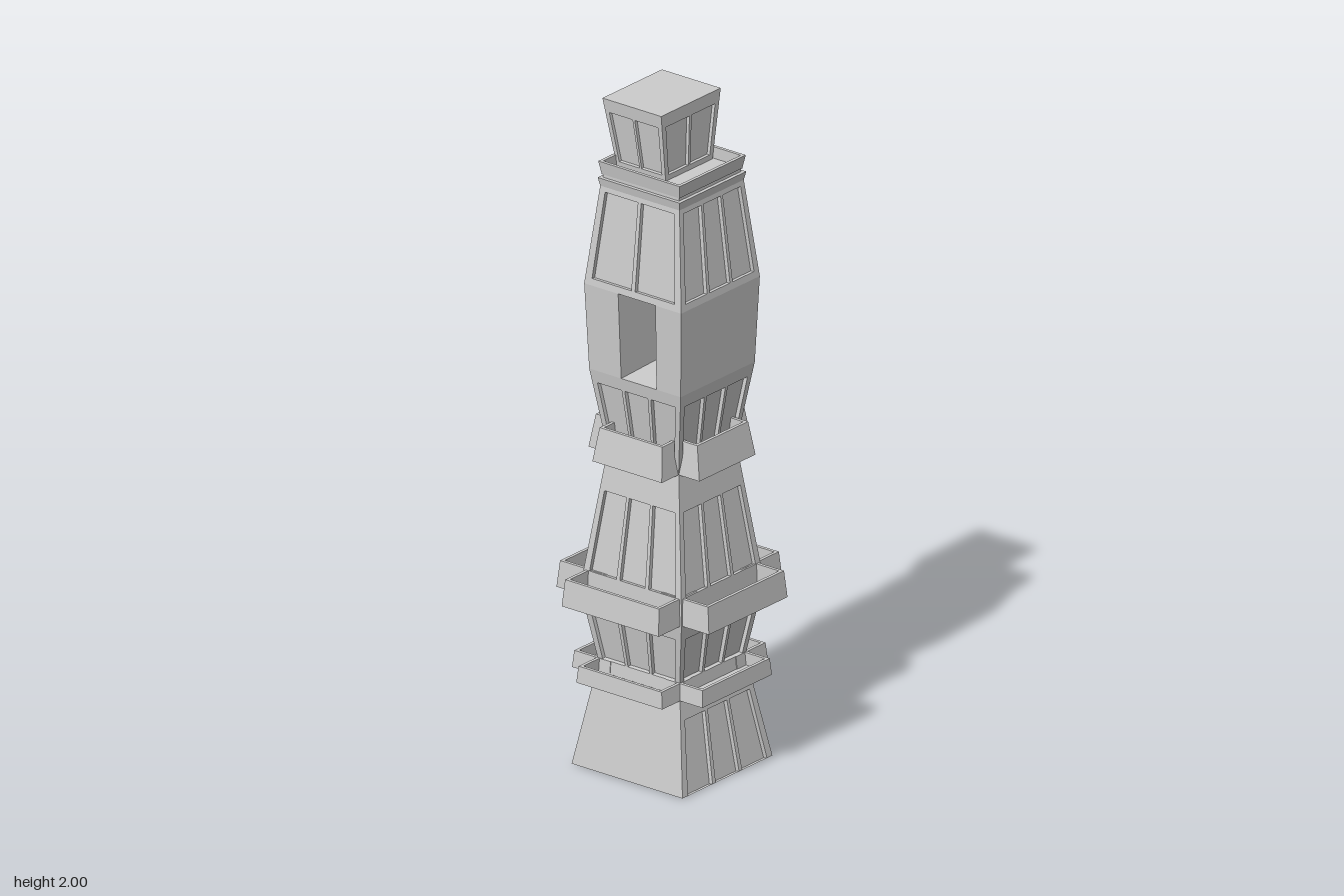
import * as THREE from 'three';

const material = new THREE.MeshStandardMaterial({ color: 0xcccccc, flatShading: true, side: THREE.DoubleSide });

// Evenly shared panels as [u0, u1, v0, v1] across a face
const THREE_PANELS = (v0, v1) => [[0.06, 0.335, v0, v1], [0.37, 0.63, v0, v1], [0.665, 0.94, v0, v1]];
const TWO_PANELS = (v0, v1) => [[0.07, 0.48, v0, v1], [0.52, 0.93, v0, v1]];

// Flat four-cornered face (bl, br, tr, tl) with a row of panels sunk into it
function addFace(out, [bl, br, tr, tl], panels = [], depth = 0.012, open = false) {
  const n = br.clone().sub(bl).cross(tl.clone().sub(bl)).normalize();
  const at = (u, v, d = 0) => bl.clone().lerp(br, u).lerp(tl.clone().lerp(tr, u), v).addScaledVector(n, -d);
  const quad = (a, b, c, d) => [a, b, c, a, c, d].forEach((p) => out.push(p.x, p.y, p.z));
  const rect = (u0, u1, v0, v1, d = 0) => {
    if (u1 - u0 > 1e-4 && v1 - v0 > 1e-4) quad(at(u0, v0, d), at(u1, v0, d), at(u1, v1, d), at(u0, v1, d));
  };
  let u = 0;
  for (const [u0, u1, v0, v1] of panels) {
    rect(u, u0, 0, 1); // stile
    rect(u0, u1, 0, v0); // bottom rail
    rect(u0, u1, v1, 1); // top rail
    if (!open) rect(u0, u1, v0, v1, depth);
    const ring = [[u0, v0], [u1, v0], [u1, v1], [u0, v1]];
    ring.forEach(([a, b], i) => {
      const [c, d] = ring[(i + 1) % 4];
      quad(at(a, b), at(c, d), at(c, d, depth), at(a, b, depth));
    });
    u = u1;
  }
  rect(u, 1, 0, 1);
}

// Tapered block between rectangles [x0, x1, z0, z1]; sides are front, right, back, left
function block(name, y0, b, y1, t, { sides = [], top, topDepth, bottom = false, depth, open } = {}) {
  const ring = ([x0, x1, z0, z1], y) =>
    [[x0, z1], [x1, z1], [x1, z0], [x0, z0]].map(([x, z]) => new THREE.Vector3(x, y, z));
  const lo = ring(b, y0), hi = ring(t, y1), out = [];
  for (let i = 0; i < 4; i++) {
    const j = (i + 1) % 4;
    addFace(out, [lo[i], lo[j], hi[j], hi[i]], sides[i], depth, open);
  }
  if (top) addFace(out, hi, top, topDepth);
  if (bottom) addFace(out, [lo[3], lo[2], lo[1], lo[0]]);
  const geometry = new THREE.BufferGeometry();
  geometry.setAttribute('position', new THREE.Float32BufferAttribute(out, 3));
  geometry.computeVertexNormals();
  const mesh = new THREE.Mesh(geometry, material);
  mesh.name = name;
  return mesh;
}

const square = (h) => [-h, h, -h, h];

// Four flared balcony trays, one on each side
function balconies(name, y0, y1, half0, reach0, half1, reach1, rim) {
  const group = new THREE.Group();
  group.name = name;
  const inner = 0.1, u = rim / (2 * half1), v = rim / (reach1 - inner);
  for (let i = 0; i < 4; i++) {
    const tray = block('balcony', y0, [-half0, half0, inner, reach0], y1, [-half1, half1, inner, reach1],
      { top: [[u, 1 - u, v, 1]], topDepth: (y1 - y0) * 0.75, bottom: true });
    tray.rotation.y = i * Math.PI / 2;
    group.add(tray);
  }
  return group;
}

export function createModel() {
  const tower = new THREE.Group();
  tower.name = 'tower';
  const all = (p) => [p, p, p, p];
  const plain = [];

  // Shaft, from the open base upwards
  tower.add(
    block('base', 0, square(0.2), 0.27, square(0.153), { sides: [THREE_PANELS(0, 0.78)] }),
    block('lowerBand', 0.27, square(0.153), 0.32, square(0.148)),
    block('lowerTier', 0.32, square(0.148), 0.51, square(0.18), { sides: all(THREE_PANELS(0, 0.74)) }),
    block('middleBand', 0.51, square(0.18), 0.59, square(0.176)),
    block('middleTier', 0.59, square(0.176), 0.94, square(0.13), { sides: all(THREE_PANELS(0, 0.69)) }),
    block('upperTier', 0.94, square(0.126), 1.2, square(0.165), { sides: all(THREE_PANELS(0.1, 0.85)) }),
  );

  // Chamber with a passage running from side to side
  tower.add(block('chamber', 1.2, square(0.165), 1.46, square(0.175), {
    sides: [plain, [[0.265, 0.65, 0, 1]], plain, [[0.35, 0.735, 0, 1]]], depth: 0.172, open: true,
  }));

  // Tapered head: three panels front and back, two on the sides
  const three = THREE_PANELS(0.07, 0.95), two = TWO_PANELS(0.07, 0.95);
  tower.add(
    block('head', 1.46, square(0.175), 1.755, square(0.143), { sides: [three, two, three, two] }),
    block('cornice', 1.755, square(0.143), 1.78, square(0.148), { top: plain, bottom: true }),
    block('neck', 1.78, square(0.137), 1.79, square(0.137)),
    block('parapet', 1.79, square(0.14), 1.83, square(0.147),
      { top: [[0.035, 0.965, 0.035, 0.965]], topDepth: 0.035, bottom: true }),
  );

  // Off-centre lookout, flared towards the top
  const pair = TWO_PANELS(0.1, 0.81);
  tower.add(block('lookout', 1.79, [-0.077, 0.13, -0.135, 0.04], 2, [-0.1, 0.165, -0.17, 0.042],
    { sides: [pair, plain, plain, pair], top: plain, depth: 0.01 }));

  tower.add(
    balconies('lowerBalconies', 0.27, 0.32, 0.155, 0.235, 0.15, 0.231, 0.01),
    balconies('middleBalconies', 0.51, 0.59, 0.175, 0.275, 0.169, 0.267, 0.01),
    balconies('upperBalconies', 0.94, 1.04, 0.125, 0.2, 0.113, 0.183, 0.01),
  );
  return tower;
}
